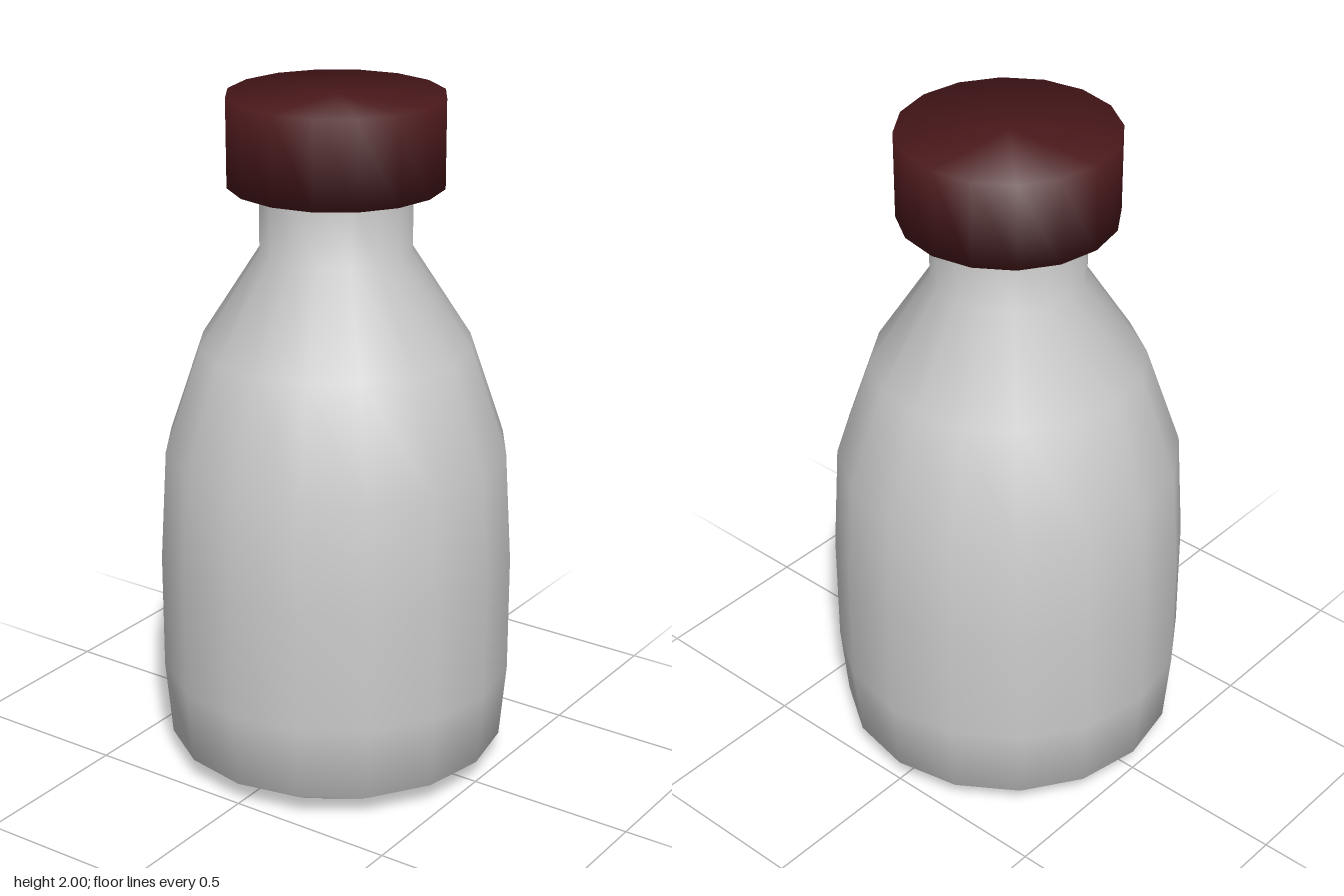
import * as THREE from 'three';

const SIDES = 16;

// Smooth-shaded turned part from [radius, height] pairs, bottom to top
function turned(name, profile, color) {
  const points = profile.map(([r, y]) => new THREE.Vector2(r, y));
  const mesh = new THREE.Mesh(
    new THREE.LatheGeometry(points, SIDES),
    new THREE.MeshStandardMaterial({ color })
  );
  mesh.name = name;
  return mesh;
}

export function createModel() {
  const model = new THREE.Group();
  model.name = 'bottle';

  // Body: chamfered base, gently bulging sides, sloped shoulder, straight neck
  model.add(turned('body', [
    [0, 0], [0.39, 0], [0.5, 0.065], [0.52, 0.29], [0.52, 0.64],
    [0.5, 0.97], [0.395, 1.28], [0.22, 1.555], [0.22, 1.76],
  ], 0xcccccc));

  // Cap: closed drum overhanging the neck
  model.add(turned('cap', [
    [0, 1.745], [0.31, 1.745], [0.31, 2], [0, 2],
  ], 0x4a181b));

  return model;
}
